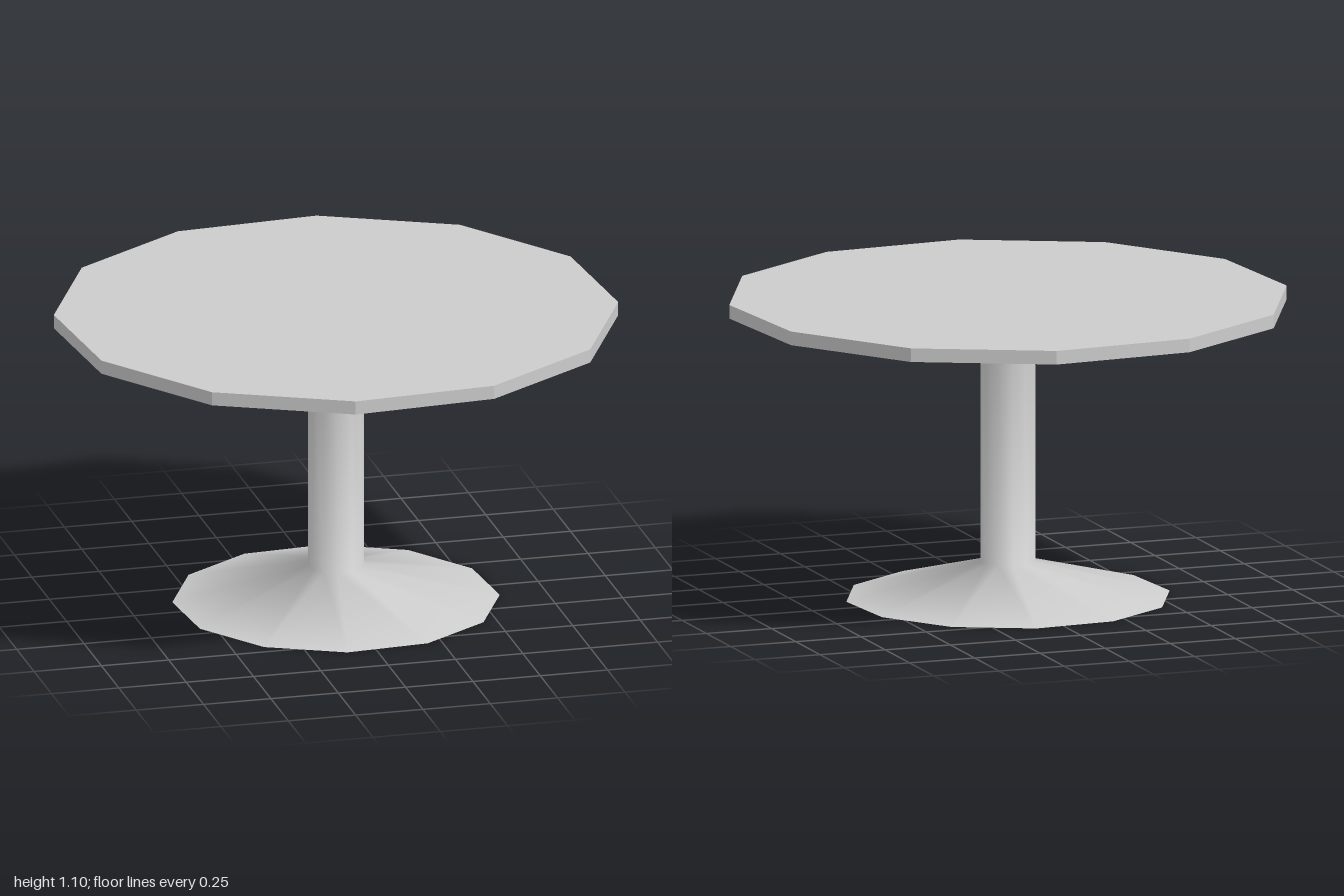
import * as THREE from 'three';

const SIDES = 12;
const TURN = THREE.MathUtils.degToRad(19.5); // shared twist of every twelve-sided ring

export function createModel() {
  const table = new THREE.Group();
  table.name = 'pedestalTable';
  const grey = new THREE.MeshStandardMaterial({ color: 0xcccccc });
  grey.name = 'light grey';
  const flatGrey = grey.clone();
  flatGrey.flatShading = true;

  const add = (name, geometry, material, y = 0) => {
    const mesh = new THREE.Mesh(geometry, material);
    mesh.name = name;
    mesh.position.y = y;
    table.add(mesh);
    return mesh;
  };

  // Faceted slab for the top
  add('tableTop', new THREE.CylinderGeometry(1.017, 1.017, 0.05, SIDES, 1, false, TURN), flatGrey, 1.079);

  // Sloping foot and column in one smooth-shaded profile
  const profile = [[0.59, 0], [0.101, 0.13], [0.101, 1.06]].map(([r, y]) => new THREE.Vector2(r, y));
  add('pedestal', new THREE.LatheGeometry(profile, SIDES, TURN), grey);

  // Flat underside of the foot
  const underside = new THREE.CircleGeometry(0.59, SIDES, Math.PI / 2 - TURN);
  underside.rotateX(Math.PI / 2);
  add('footUnderside', underside, grey);

  return table;
}
